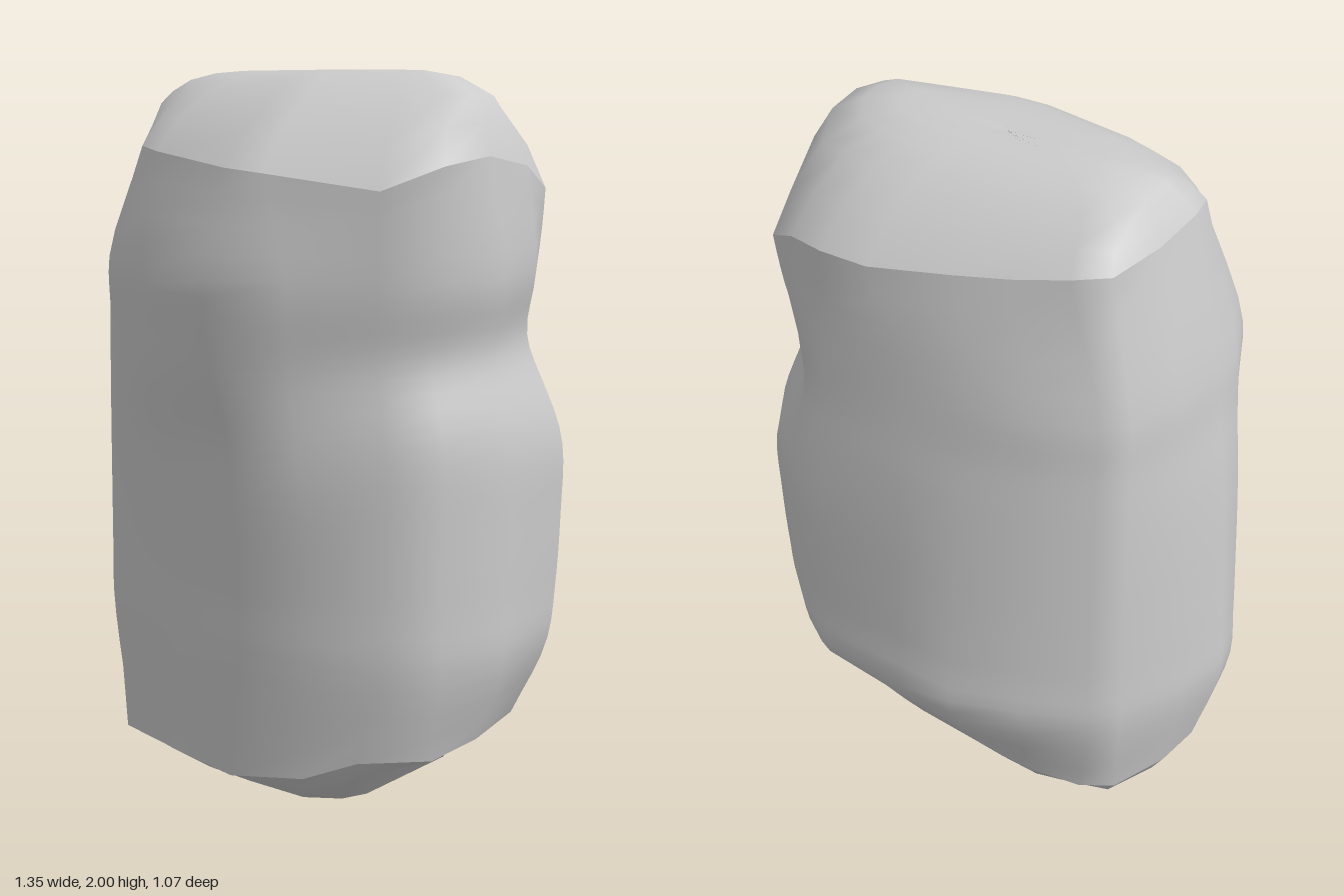
import * as THREE from 'three';

// Plan outlines as [x, z], starting at the -x side and running past the front.
const LOWER = [[-.68, .06], [-.66, .15], [-.54, .29], [-.38, .41], [-.15, .41], [.1, .41], [.32, .38],
  [.5, .29], [.61, .2], [.67, 0], [.66, -.25], [.56, -.38], [.41, -.49], [.3, -.525], [0, -.53],
  [-.17, -.52], [-.35, -.44], [-.51, -.35], [-.57, -.28], [-.65, -.1]];
const UPPER = [[-.59, .06], [-.58, .16], [-.52, .29], [-.38, .41], [-.2, .46], [.1, .53], [.28, .42],
  [.47, .29], [.6, .19], [.645, 0], [.605, -.19], [.51, -.34], [.36, -.45], [.25, -.47], [0, -.46],
  [-.2, -.44], [-.36, -.4], [-.5, -.33], [-.55, -.27], [-.59, -.1]];
// Sharp rims of the body as [x, y, z].
const TOP_RIM = [[-.5, 1.9, .05], [-.49, 1.91, .11], [-.41, 1.85, .22], [-.33, 1.8, .33], [-.22, 1.79, .38],
  [.1, 1.76, .45], [.22, 1.75, .44], [.48, 1.71, .3], [.6, 1.77, .2], [.62, 1.79, .05], [.6, 1.76, -.14],
  [.5, 1.69, -.37], [.38, 1.75, -.42], [.25, 1.77, -.455], [.1, 1.78, -.455], [-.12, 1.81, -.4],
  [-.26, 1.83, -.36], [-.4, 1.86, -.32], [-.49, 1.88, -.28], [-.5, 1.88, -.1]];
const BOTTOM_RIM = [[-.61, .2, .06], [-.59, .18, .12], [-.55, .14, .24], [-.39, .14, .38], [-.15, .14, .41],
  [.05, .12, .4], [.29, .17, .37], [.4, .215, .28], [.57, .24, .18], [.58, .25, 0], [.55, .26, -.2],
  [.46, .27, -.31], [.35, .28, -.37], [.24, .28, -.385], [0, .26, -.38], [-.17, .24, -.38],
  [-.32, .22, -.36], [-.46, .19, -.3], [-.54, .19, -.24], [-.6, .2, -.08]];

// Body levels as [y, then the blend from lower to upper outline: rest, front, +x side].
const LEVELS = [[.48, 0, 0, .35], [.65, .05, 0, .1], [.85, .2, .15, 0], [1.03, .35, .48, 0],
  [1.2, .55, .84, .5], [1.34, .78, .96, 1], [1.5, 1, 1, 1]];
// Hollows as [x, y, z, radius, depth]: a notch along the +x side, then the front.
const DENTS = [[.56, 1.28, .22, .13, .05], [.63, 1.28, 0, .13, .04], [.54, 1.29, -.32, .15, .06],
  [.04, 1.04, .46, .14, .03], [.24, 1.2, .43, .18, .04]];

const material = new THREE.MeshStandardMaterial({ color: 0xcccccc });
const vec = (p) => new THREE.Vector3(...p);

function dent(p) {
  for (const [x, y, z, radius, depth] of DENTS) {
    const d = Math.hypot(p.x - x, p.y - y, p.z - z);
    const k = 1 - depth * Math.exp(-((d / radius) ** 2)) / Math.hypot(p.x, p.z);
    p.x *= k;
    p.z *= k;
  }
  return p;
}

// Closed rings, listed from bottom to top, joined into one smooth skin.
function loft(name, rings) {
  const n = rings[0].length;
  const index = [];
  for (let j = 0; j < rings.length - 1; j++) {
    for (let i = 0; i < n; i++) {
      const a = j * n + i, b = j * n + (i + 1) % n;
      index.push(a, b, b + n, a, b + n, a + n);
    }
  }
  const geometry = new THREE.BufferGeometry().setFromPoints(rings.flat());
  geometry.setIndex(index);
  geometry.computeVertexNormals();
  const mesh = new THREE.Mesh(geometry, material);
  mesh.name = name;
  return mesh;
}

export function createModel() {
  const rock = new THREE.Group();
  rock.name = 'rock';
  const bottomRim = BOTTOM_RIM.map(vec);
  const topRim = TOP_RIM.map(vec);

  // Body: a smooth curve up each column, from the bottom rim to the top rim
  const rows = 30;
  const columns = LOWER.map(([lx, lz], i) => {
    const [ux, uz] = UPPER[i];
    const keys = LEVELS.map(([y, rest, front, side]) => {
      const w = lz > .35 ? front : lx > .4 ? side : rest;
      return new THREE.Vector3(lx + (ux - lx) * w, y, lz + (uz - lz) * w);
    });
    return new THREE.CatmullRomCurve3([bottomRim[i], ...keys, topRim[i]]).getPoints(rows);
  });
  const body = [];
  for (let j = 0; j <= rows; j++) {
    const inner = j > 0 && j < rows;
    body.push(columns.map((c) => (inner ? dent(c[j].clone()) : c[j])));
  }
  rock.add(loft('body', body));

  // Crown: a ridge along x, as [x scale, z scale, rise]
  const crown = [[1, 1, 0], [.95, .84, .37], [.87, .6, .72], [.72, .4, .92], [.55, .22, .99], [.28, .1, 1], [0, 0, .98]];
  rock.add(loft('crown', crown.map(([sx, sz, rise]) =>
    topRim.map((p) => new THREE.Vector3(p.x * sx, p.y + (2 - p.y) * rise, p.z * sz - .03 * (1 - sz))))));

  // Underside: steps in below the +x side and tapers to a low point
  const under = [[0, 0, 0], [.4, .34, .012], [.76, .7, .055], [.92, .92, .13]];
  const underRings = under.map(([sx, sz, y]) =>
    bottomRim.map((p) => {
      const z = p.z * sz + .02 * (1 - sz);
      const back = Math.max(0, -z - .24) * .8;
      return new THREE.Vector3(Math.min(p.x * sx - .1 * (1 - sx), .31), Math.min(y + back, p.y), z);
    }));
  rock.add(loft('underside', [...underRings, bottomRim]));

  return rock;
}
